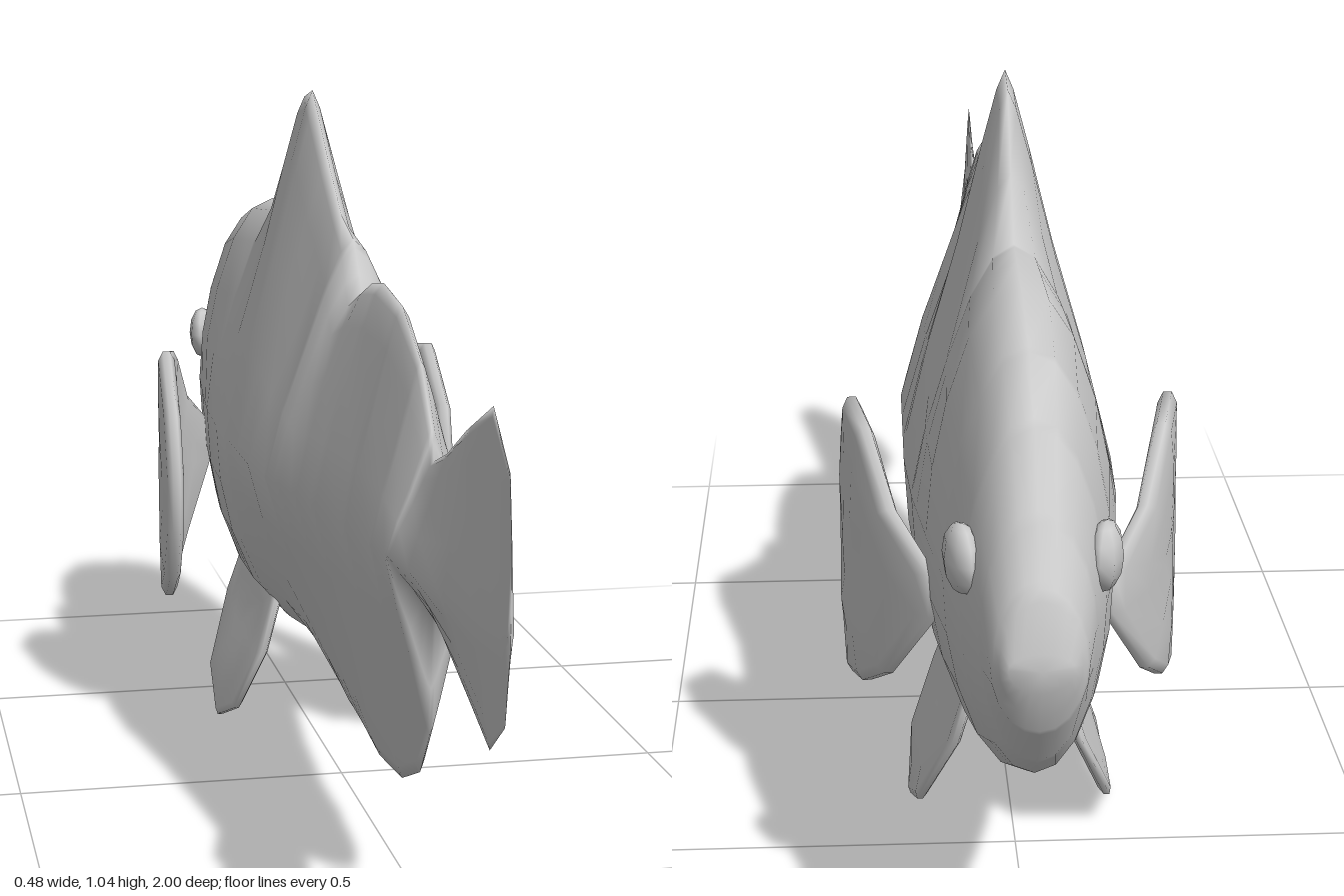
import * as THREE from 'three';

const material = new THREE.MeshStandardMaterial({ color: 0xcccccc });

// Piecewise-linear lookup in a list of [position, value]
function sample(profile, z) {
  if (z <= profile[0][0]) return profile[0][1];
  for (let i = 1; i < profile.length; i++) {
    const [z0, v0] = profile[i - 1], [z1, v1] = profile[i];
    if (z <= z1) return v0 + (v1 - v0) * (z - z0) / (z1 - z0);
  }
  return profile[profile.length - 1][1];
}

// Smooth closed skin over a stack of equal rings of [x, y, z], capped at both ends
function loft(rings, name) {
  const n = rings[0].length, positions = rings.flat(2), index = [];
  for (let i = 0; i < rings.length - 1; i++) {
    for (let j = 0; j < n; j++) {
      const a = i * n + j, b = i * n + (j + 1) % n;
      index.push(a, b, b + n, a, b + n, a + n);
    }
  }
  const addCap = (start, flip) => {
    const ring = rings[start / n], c = positions.length / 3;
    for (let k = 0; k < 3; k++) positions.push(ring.reduce((s, p) => s + p[k], 0) / n);
    for (let j = 0; j < n; j++) {
      const a = start + j, b = start + (j + 1) % n;
      index.push(c, flip ? b : a, flip ? a : b);
    }
  };
  addCap(0, true);
  addCap((rings.length - 1) * n, false);
  const g = new THREE.BufferGeometry();
  g.setAttribute('position', new THREE.Float32BufferAttribute(positions, 3));
  g.setIndex(index);
  g.computeVertexNormals();
  const mesh = new THREE.Mesh(g, material);
  mesh.name = name;
  return mesh;
}

// Side outlines of the body, unpaired fins included: [z, y]
const top = [[-1, 0.5], [-0.985, 0.56], [-0.92, 0.65], [-0.84, 0.74], [-0.74, 0.8], [-0.6, 0.835],
  [-0.44, 0.85], [-0.37, 0.93], [-0.3, 1.03], [-0.23, 1.045], [-0.1, 0.945], [0, 0.875], [0.09, 0.85],
  [0.155, 0.775], [0.22, 0.803], [0.3, 0.815], [0.42, 0.8], [0.53, 0.745], [0.595, 0.665],
  [0.608, 0.625], [0.68, 0.65], [0.78, 0.7], [0.91, 0.755], [0.99, 0.69], [1, 0.62]];
const bottom = [[-1, 0.45], [-0.975, 0.39], [-0.93, 0.33], [-0.88, 0.29], [-0.75, 0.23], [-0.6, 0.185],
  [-0.5, 0.17], [-0.2, 0.185], [-0.1, 0.195], [0, 0.185], [0.13, 0.14], [0.28, 0.12], [0.43, 0.135],
  [0.54, 0.18], [0.595, 0.25], [0.608, 0.42], [0.68, 0.41], [0.78, 0.37], [0.91, 0.33], [0.98, 0.38], [1, 0.48]];
// Half width, and how round (1) or blade-like (0) the back and belly are
const width = [[-1, 0.04], [-0.97, 0.06], [-0.85, 0.09], [-0.75, 0.108], [-0.6, 0.125], [-0.45, 0.14],
  [-0.3, 0.147], [0, 0.145], [0.1, 0.135], [0.2, 0.115], [0.4, 0.085], [0.6, 0.062], [0.8, 0.033], [1, 0.004]];
const roundBack = [[-1, 1], [-0.6, 0.85], [-0.44, 0.5], [-0.33, 0], [0, 0], [0.15, 0.4], [0.3, 0.2], [0.6, 0]];
const roundBelly = [[-1, 1], [-0.25, 1], [0.15, 0.1], [0.3, 0], [1, 0]];

// Share of the half width at growing height above or below the middle
const levels = [0.28, 0.55, 0.8, 0.95];
const blade = [0.75, 0.46, 0.23, 0.08], full = [0.96, 0.83, 0.6, 0.32];

function bodyRing(z) {
  const mid = z < -0.95 ? 0.475 - (z + 0.95) * 0.1 : 0.5, w = sample(width, z);
  const half = (edge, r) => levels.map((f, i) =>
    [w * (blade[i] + (full[i] - blade[i]) * r), mid + (edge - mid) * f]);
  const t = sample(top, z), b = sample(bottom, z);
  const right = [...half(b, sample(roundBelly, z)).reverse(), [w, mid], ...half(t, sample(roundBack, z))];
  const left = right.map(([x, y]) => [-x, y]).reverse();
  return [[0, b], ...right, [0, t], ...left].map(([x, y]) => [x, y, z]);
}

function makeBody() {
  const stations = [...new Set([...top, ...bottom, ...width].map(p => p[0]))].sort((a, b) => a - b);
  return loft(stations.map(bodyRing), 'body');
}

// Curved fin with a rounded rim: outline of [z, y], bent sideways by bend(z, y)
function makeFin(outline, bend, thickness, side, name) {
  const cz = outline.reduce((s, p) => s + p[0], 0) / outline.length;
  const cy = outline.reduce((s, p) => s + p[1], 0) / outline.length;
  const layers = [[0.3, 1], [0.65, 1], [0.93, 0.9], [1, 0.4], [1, -0.4], [0.93, -0.9], [0.65, -1], [0.3, -1]];
  const rings = layers.map(([scale, offset]) => {
    const ring = outline.map(([z, y]) => {
      const pz = cz + (z - cz) * scale, py = cy + (y - cy) * scale;
      return [side * (bend(pz, py) + offset * thickness / 2), py, pz];
    });
    return side > 0 ? ring : ring.reverse();
  });
  return loft(rings, name);
}

const pectoral = [[-0.36, 0.615], [-0.45, 0.6], [-0.53, 0.51], [-0.605, 0.445], [-0.605, 0.385], [-0.52, 0.27],
  [-0.44, 0.225], [-0.36, 0.205], [-0.28, 0.25], [-0.235, 0.34], [-0.23, 0.43], [-0.26, 0.53]];
const pectoralBend = [[-0.61, 0.113], [-0.57, 0.142], [-0.52, 0.175], [-0.43, 0.208], [-0.33, 0.224], [-0.23, 0.222]];
const pelvic = [[-0.2, 0.25], [-0.35, 0.27], [-0.53, 0.25], [-0.54, 0.17], [-0.46, 0.05],
  [-0.34, 0], [-0.21, 0.05], [-0.17, 0.15]];
const pelvicBend = [[0, 0.139], [0.05, 0.132], [0.12, 0.106], [0.2, 0.074], [0.27, 0.055]];

export function createModel() {
  const fish = new THREE.Group();
  fish.name = 'fish';
  fish.add(makeBody());
  for (const [side, label] of [[1, 'left'], [-1, 'right']]) {
    fish.add(makeFin(pectoral, z => sample(pectoralBend, z), 0.03, side, label + 'PectoralFin'));
    fish.add(makeFin(pelvic, (z, y) => sample(pelvicBend, y), 0.02, side, label + 'PelvicFin'));

    // Flattened eye on the cheek
    const eye = new THREE.Mesh(new THREE.SphereGeometry(0.045, 8, 6), material);
    eye.name = label + 'Eye';
    eye.scale.x = 0.5;
    eye.rotation.y = side * 0.25;
    eye.position.set(side * 0.088, 0.565, -0.85);
    fish.add(eye);
  }
  return fish;
}
